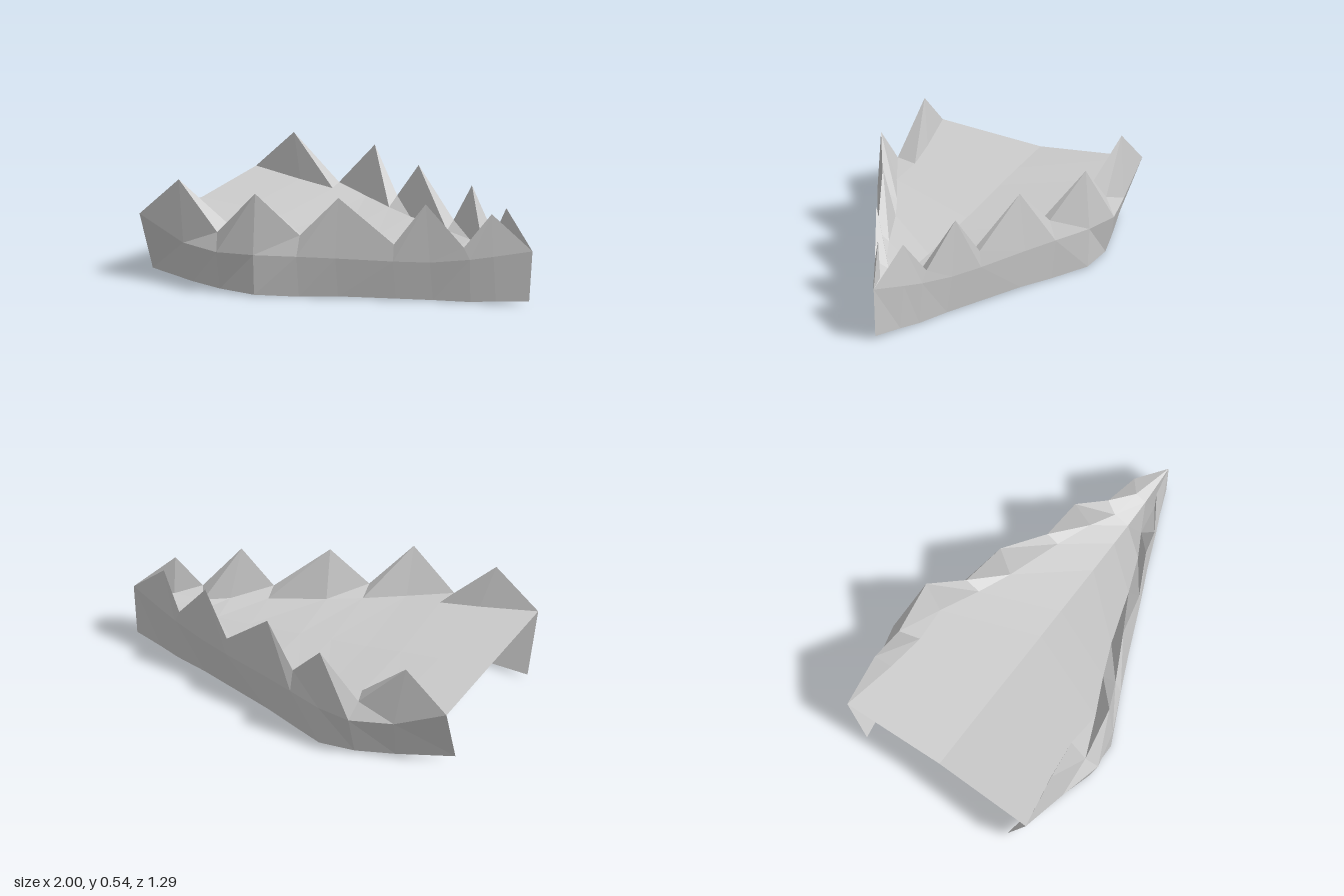
import * as THREE from 'three';

// Lengthwise rails of one side (+z), rear to tip; every rail has eleven [x, y, z] stations
const REAR_TOP = [-1, 0.33, 0.56], REAR_BOTTOM = [-0.995, 0.02, 0.44];
const TIP_TOP = [1, 0.285, 0], TIP_BOTTOM = [0.98, 0.02, 0];

const outerBottom = [REAR_BOTTOM,
  [-0.7, 0.01, 0.53], [-0.5, 0.013, 0.59], [-0.3, 0.007, 0.585], [-0.1, 0, 0.475], [0.08, 0.008, 0.39],
  [0.35, 0.006, 0.265], [0.52, 0.004, 0.185], [0.7, 0.003, 0.115], [0.82, 0.012, 0.065], TIP_BOTTOM];
const outerMiddle = [REAR_TOP,
  [-0.72, 0.223, 0.59], [-0.49, 0.217, 0.643], [-0.3, 0.217, 0.595], [-0.1, 0.215, 0.5], [0.08, 0.212, 0.415],
  [0.35, 0.207, 0.295], [0.52, 0.207, 0.215], [0.71, 0.23, 0.135], [0.82, 0.25, 0.085], TIP_TOP];
// Alternates between tooth points and the gaps between them
const ridge = [REAR_TOP,
  [-0.77, 0.54, 0.553], [-0.52, 0.305, 0.585], [-0.3, 0.535, 0.575], [-0.1, 0.32, 0.468], [0.08, 0.523, 0.385],
  [0.35, 0.295, 0.287], [0.5, 0.512, 0.222], [0.68, 0.292, 0.145], [0.8, 0.468, 0.07], TIP_TOP];
const innerTop = [REAR_TOP,
  [-0.7, 0.314, 0.503], [-0.49, 0.302, 0.475], [-0.3, 0.287, 0.487], [-0.1, 0.276, 0.39], [0.07, 0.268, 0.317],
  [0.35, 0.254, 0.222], [0.53, 0.25, 0.15], [0.65, 0.248, 0.082], [0.8, 0.262, 0.058], TIP_TOP];
const innerBottom = [REAR_BOTTOM,
  [-0.7, 0.012, 0.485], [-0.49, 0.015, 0.51], [-0.29, 0.012, 0.478], [-0.1, 0.008, 0.385], [0.07, 0.01, 0.312],
  [0.35, 0.01, 0.215], [0.53, 0.01, 0.145], [0.65, 0.01, 0.09], [0.8, 0.015, 0.045], TIP_BOTTOM];

// Centre line of the floor, sagging a little below its edges
const floorCentre = innerTop.map(([x, y], i) =>
  i === 10 ? TIP_TOP : [i === 0 ? -0.975 : x, y - (i === 0 ? 0.035 : 0.03), 0]);

// Skins neighbouring rails with triangles; side = -1 mirrors across z = 0
function skin(rails, side) {
  const positions = [];
  const p = new THREE.Vector3(), q = new THREE.Vector3(), r = new THREE.Vector3();
  const tri = (a, b, c) => {
    p.fromArray(a); q.fromArray(b).sub(p); r.fromArray(c).sub(p);
    if (q.cross(r).length() < 1e-7) return; // collapsed corner at rear or tip
    for (const [x, y, z] of side > 0 ? [a, b, c] : [a, c, b]) positions.push(x, y, z * side);
  };
  for (let k = 0; k < rails.length - 1; k++) {
    const lower = rails[k], upper = rails[k + 1];
    for (let i = 0; i < lower.length - 1; i++) {
      tri(lower[i], lower[i + 1], upper[i + 1]);
      tri(lower[i], upper[i + 1], upper[i]);
    }
  }
  const geometry = new THREE.BufferGeometry();
  geometry.setAttribute('position', new THREE.Float32BufferAttribute(positions, 3));
  geometry.computeVertexNormals();
  return geometry;
}

export function createModel() {
  const model = new THREE.Group();
  model.name = 'toothedJaw';
  const material = new THREE.MeshStandardMaterial({
    color: 0xcccccc, flatShading: true, side: THREE.DoubleSide,
  });
  const add = (name, rails, side) => {
    const mesh = new THREE.Mesh(skin(rails, side), material);
    mesh.name = name;
    model.add(mesh);
  };
  for (const side of [1, -1]) {
    const label = side > 0 ? 'front' : 'back';
    // Closed wall: outer face, teeth, inner face and underside rim
    add(label + 'ToothedWall',
      [outerBottom, outerMiddle, ridge, innerTop, innerBottom, outerBottom], side);
    // Half of the shallow floor between the walls
    add(label + 'Floor', [innerTop, floorCentre], side);
  }
  return model;
}
